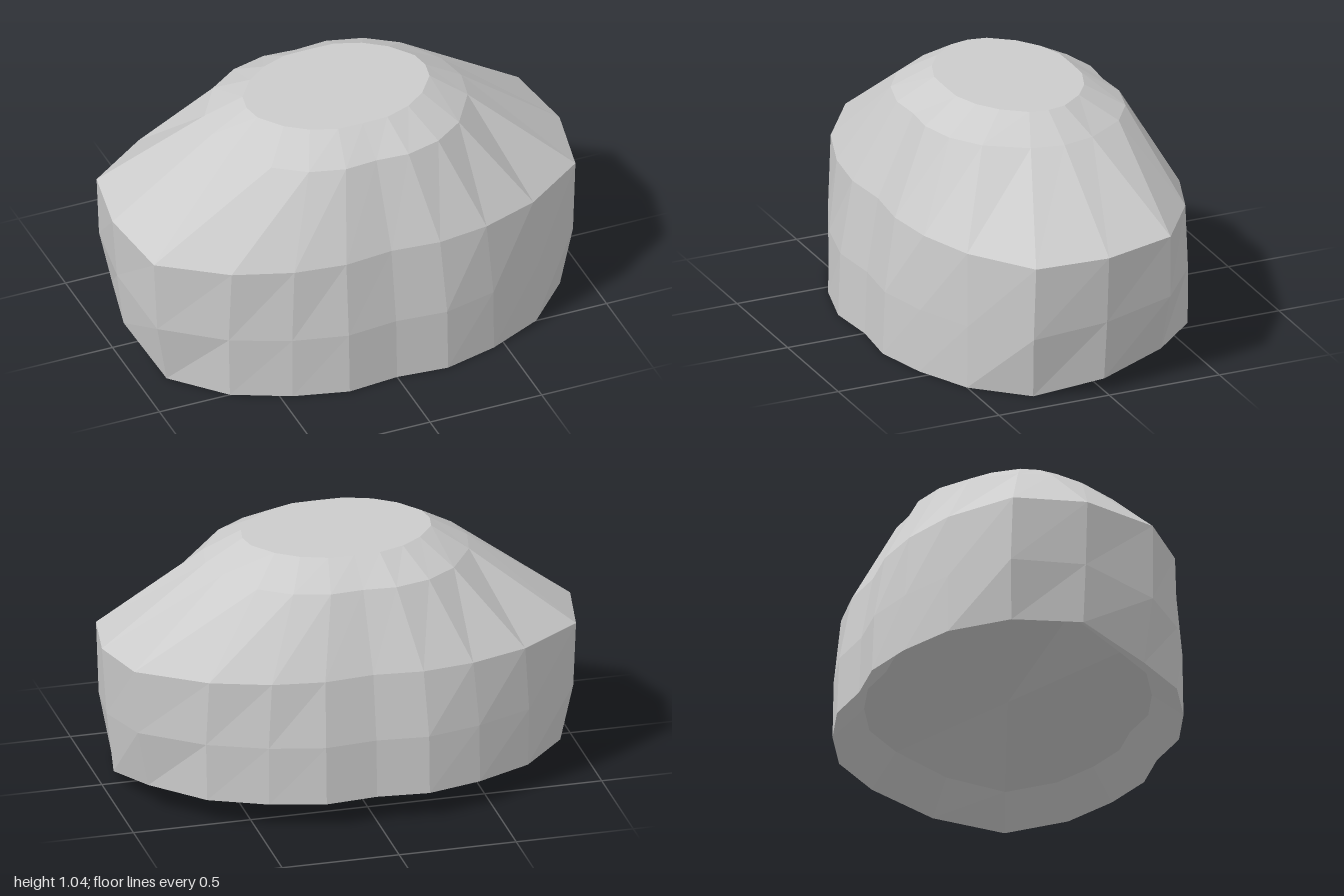
import * as THREE from 'three';

// Quarter outlines from front centre round to the side: [x, z]
const RINGS = [
  // rim
  { front: 0, back: 0.11, side: 0.055, pts: [[0, 0.65], [0.22, 0.67], [0.45, 0.61], [0.685, 0.5], [0.88, 0.29], [0.95, 0]] },
  // belly
  { front: 0.275, back: 0.36, side: 0.32, pts: [[0, 0.64], [0.22, 0.66], [0.45, 0.605], [0.69, 0.5], [0.93, 0.31], [0.98, 0]] },
  // shoulder
  { front: 0.597, back: 0.635, side: 0.615, pts: [[0, 0.59], [0.21, 0.61], [0.43, 0.58], [0.675, 0.495], [0.943, 0.305], [1, 0]] },
  // upper ring
  { front: 0.95, back: 0.95, side: 0.95, pts: [[0, 0.43], [0.14, 0.44], [0.29, 0.4], [0.42, 0.31], [0.53, 0.14], [0.56, 0]] },
  // crown edge
  { front: 1.045, back: 1.045, side: 1.045, pts: [[0, 0.287], [0.11, 0.285], [0.22, 0.245], [0.31, 0.18], [0.385, 0.08], [0.4, 0]] },
];

// Mirror a quarter outline into a closed loop of 20 points
function makeLoop({ front, back, side, pts }) {
  const loop = [];
  for (let i = 0; i <= 5; i++) loop.push([pts[i][0], i < 5 ? front : side, pts[i][1]]);
  for (let i = 4; i >= 0; i--) loop.push([pts[i][0], back, -pts[i][1]]);
  for (let i = 1; i <= 5; i++) loop.push([-pts[i][0], back, -pts[i][1]]);
  for (let i = 4; i >= 1; i--) loop.push([-pts[i][0], front, pts[i][1]]);
  return loop;
}

// Faceted skin between consecutive loops
function loft(loops) {
  const out = [];
  for (let r = 0; r < loops.length - 1; r++) {
    const lo = loops[r], hi = loops[r + 1], n = lo.length;
    for (let i = 0; i < n; i++) {
      const j = (i + 1) % n;
      out.push(lo[i], lo[j], hi[j], lo[i], hi[j], hi[i]);
    }
  }
  return out;
}

// Fan from a centre point; faces up, or down when flipped
function fan(loop, centre, flip) {
  const out = [];
  loop.forEach((p, i) => {
    const q = loop[(i + 1) % loop.length];
    out.push(centre, flip ? q : p, flip ? p : q);
  });
  return out;
}

export function createModel() {
  const group = new THREE.Group();
  group.name = 'facetedShell';
  const material = new THREE.MeshStandardMaterial({ color: 0xcccccc, flatShading: true });

  const add = (name, corners) => {
    const geometry = new THREE.BufferGeometry();
    geometry.setAttribute('position', new THREE.Float32BufferAttribute(corners.flat(), 3));
    geometry.computeVertexNormals();
    const mesh = new THREE.Mesh(geometry, material);
    mesh.name = name;
    group.add(mesh);
  };

  const loops = RINGS.map(makeLoop);
  // Recessed underside: the rim drawn inwards and raised
  const inner = loops[0].map(([x, y, z]) => [x * 0.82, y + 0.11, z * 0.82]);

  add('lowerWall', loft(loops.slice(0, 3)));
  add('slopedUpper', loft(loops.slice(2)));
  add('crown', fan(loops[4], [0, 1.045, 0], false));
  add('innerRim', loft([inner, loops[0]]));
  add('underside', fan(inner, [0, 0.165, 0], true));
  return group;
}
